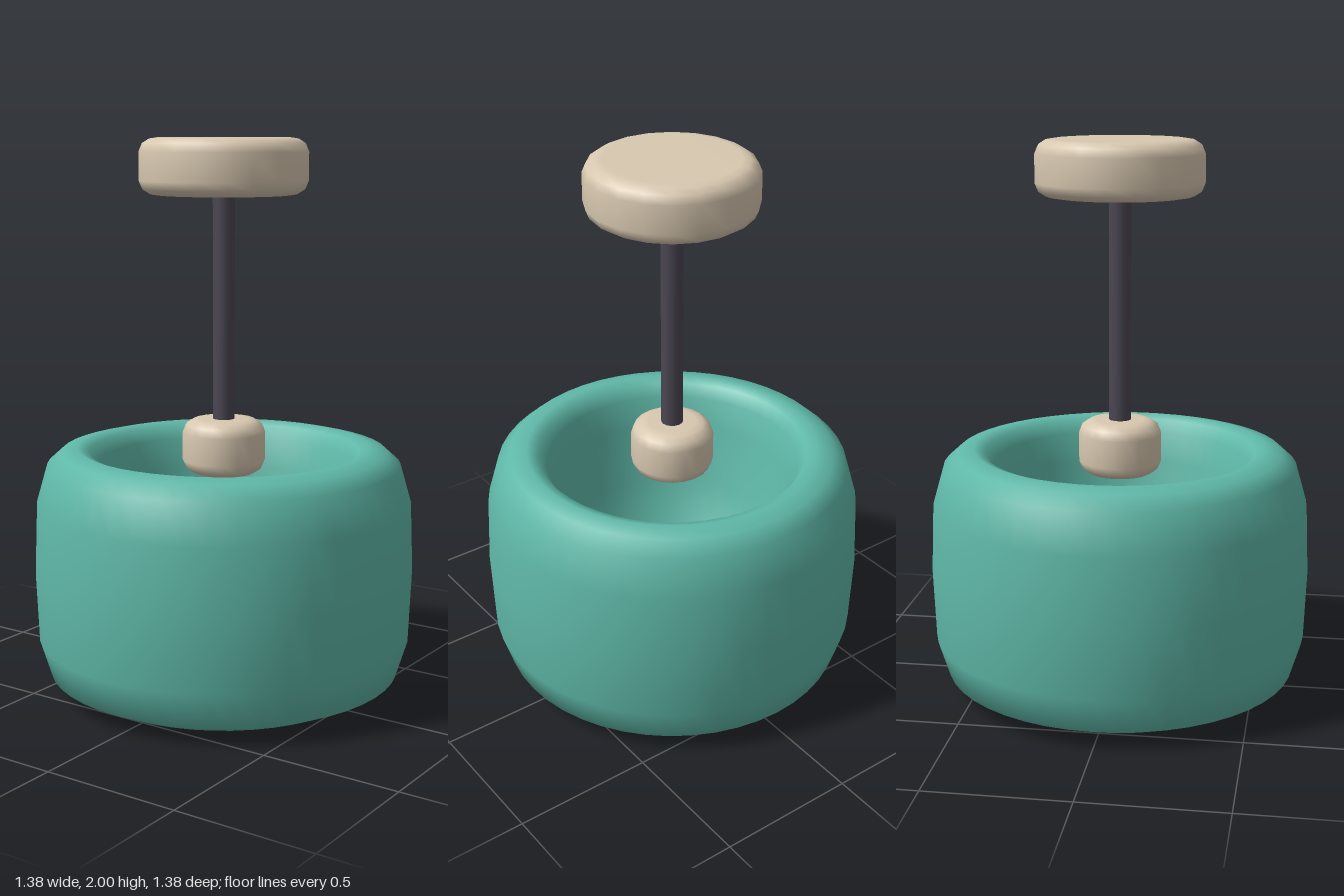
import * as THREE from 'three';

const teal = new THREE.MeshStandardMaterial({ color: 0x5fb8a8 });
teal.name = 'teal shade';
const cream = new THREE.MeshStandardMaterial({ color: 0xd8c8b0 });
cream.name = 'cream fittings';
const charcoal = new THREE.MeshStandardMaterial({ color: 0x4a4652 });
charcoal.name = 'charcoal rod';

// Smooth solid of revolution from [radius, height] points, listed bottom to top
function turned(name, profile, sides, material) {
  const points = profile.map(([r, y]) => new THREE.Vector2(r, y));
  const mesh = new THREE.Mesh(new THREE.LatheGeometry(points, sides), material);
  mesh.name = name;
  return mesh;
}

// Disc with softly rounded edges, between heights y0 and y1
function softDisc(name, radius, y0, y1, bevel) {
  const half = [
    [0, 0], [radius - bevel * 1.3, 0], [radius - bevel * 0.75, 0.004],
    [radius - bevel * 0.25, bevel * 0.4], [radius, bevel],
  ];
  const lower = half.map(([r, y]) => [r, y0 + y]);
  const upper = half.map(([r, y]) => [r, y1 - y]).reverse();
  return turned(name, [...lower, ...upper], 20, cream);
}

export function createModel() {
  const model = new THREE.Group();
  model.name = 'pendantLamp';

  // Drum shade: closed base, bulging wall, rolled rim and tapering bowl inside
  model.add(turned('shade', [
    [0, 0], [0.4, 0.005], [0.54, 0.022], [0.64, 0.07], [0.68, 0.2], [0.69, 0.45],
    [0.68, 0.7], [0.64, 0.84], [0.59, 0.885], [0.53, 0.9], [0.49, 0.885],
    [0.46, 0.84], [0.435, 0.73], [0.395, 0.5], [0.33, 0.28], [0.22, 0.16], [0, 0.12],
  ], 48, teal));

  // Lamp socket, hanging rod and ceiling canopy
  model.add(softDisc('socket', 0.15, 0.8, 1.0, 0.05));
  const rod = new THREE.Mesh(new THREE.CylinderGeometry(0.04, 0.04, 0.84, 16), charcoal);
  rod.name = 'rod';
  rod.position.y = 1.4;
  model.add(rod);
  model.add(softDisc('canopy', 0.3, 1.8, 2.0, 0.05));

  return model;
}
